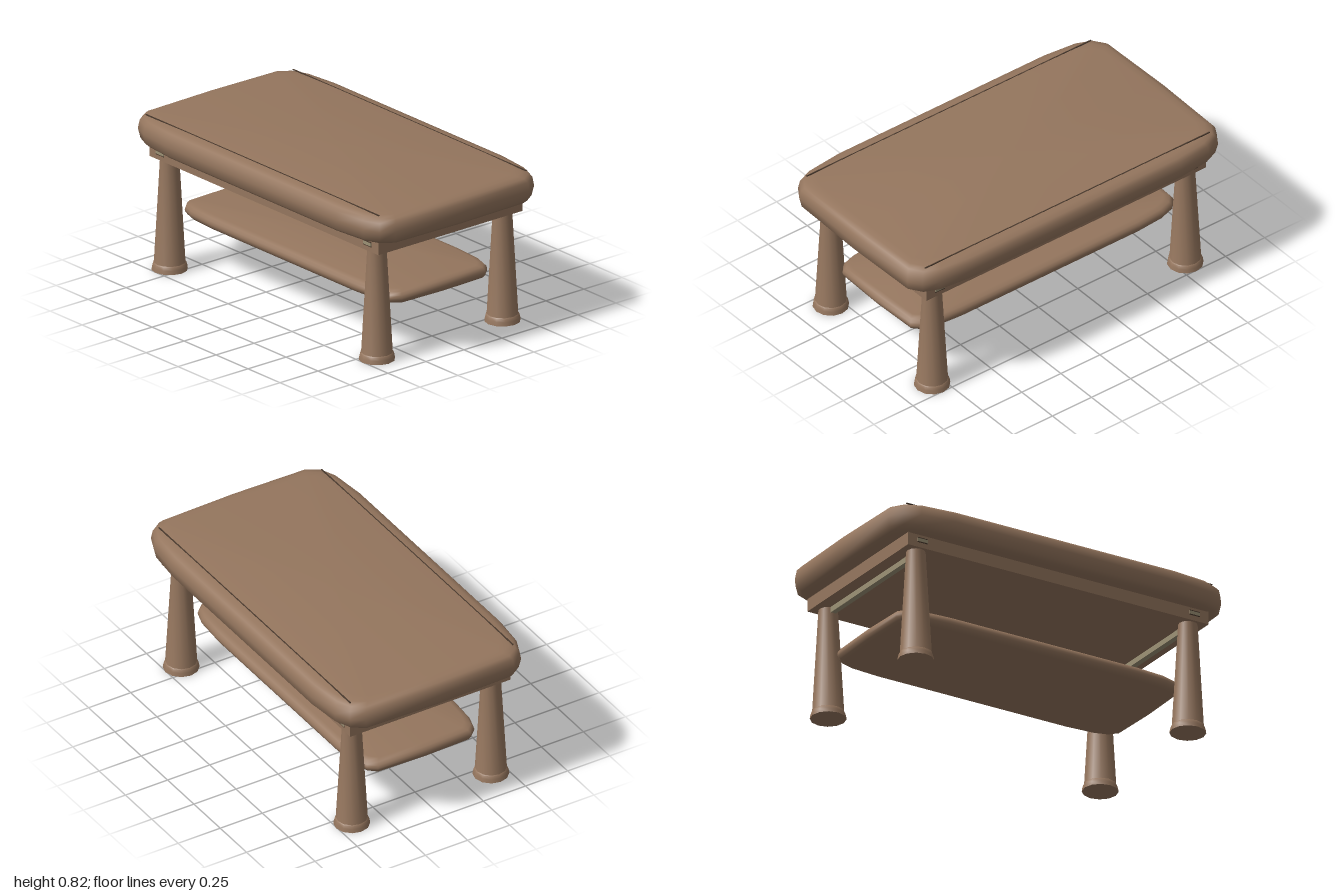
import * as THREE from 'three';
import { toCreasedNormals } from 'three/addons/utils/BufferGeometryUtils.js';

const mat = (name, color) => {
  const m = new THREE.MeshStandardMaterial({ color });
  m.name = name;
  return m;
};

// Plan outline for one quadrant, as fractions of the half width and half depth
const QUADRANT = [[1, 0], [0.99, 0.78], [0.945, 0.9], [0.86, 0.965], [0.67, 1], [0, 1]];

function planOutline() {
  const pts = [];
  for (let q = 0; q < 4; q++) {
    const sx = q === 0 || q === 3 ? 1 : -1;
    const sz = q < 2 ? 1 : -1;
    const part = q % 2 ? [...QUADRANT].reverse() : QUADRANT;
    part.slice(0, -1).forEach(([x, z]) => pts.push([x * sx, z * sz]));
  }
  return pts;
}

// Soft slab: stacked outlines, each given as [inset, y] from bottom to top
function slabGeometry(halfX, halfZ, rows) {
  const outline = planOutline();
  const n = outline.length;
  const pos = [];
  const index = [];
  rows.forEach(([inset, y]) => outline.forEach(([x, z]) =>
    pos.push(x * (halfX - inset), y, z * (halfZ - inset))));
  for (let r = 0; r < rows.length - 1; r++) {
    for (let i = 0; i < n; i++) {
      const a = r * n + i, b = r * n + (i + 1) % n;
      index.push(a, a + n, b, b, a + n, b + n);
    }
  }
  // Flat caps
  const last = (rows.length - 1) * n;
  const bottom = pos.length / 3;
  pos.push(0, rows[0][1], 0, 0, rows[rows.length - 1][1], 0);
  for (let i = 0; i < n; i++) {
    const j = (i + 1) % n;
    index.push(bottom, i, j, bottom + 1, last + j, last + i);
  }
  const g = new THREE.BufferGeometry();
  g.setAttribute('position', new THREE.Float32BufferAttribute(pos, 3));
  g.setIndex(index);
  return toCreasedNormals(g, 0.95);
}

export function createModel() {
  const group = new THREE.Group();
  group.name = 'coffeeTable';
  const wood = mat('brown wood', 0x95765e);
  const rail = mat('pale olive wood', 0x9c9175);
  const dark = mat('dark groove', 0x4a3a2e);

  const add = (name, geometry, material, x = 0, y = 0, z = 0) => {
    const m = new THREE.Mesh(geometry, material);
    m.name = name;
    m.position.set(x, y, z);
    group.add(m);
    return m;
  };
  const box = (name, w, h, d, material, x, y, z) =>
    add(name, new THREE.BoxGeometry(w, h, d), material, x, y, z);

  // Thick rounded top
  add('tableTop', slabGeometry(1, 0.565, [
    [0.05, 0.668], [0.027, 0.675], [0.01, 0.692], [0, 0.745],
    [0.007, 0.79], [0.022, 0.808], [0.05, 0.817], [0.085, 0.822],
  ]), wood);

  // Apron under the top
  box('apron', 1.79, 0.08, 0.95, wood, 0, 0.64, 0);

  // Shelf between the legs
  add('shelf', slabGeometry(0.85, 0.355, [
    [0.03, 0.265], [0.012, 0.272], [0.002, 0.288], [0, 0.3],
    [0.004, 0.315], [0.015, 0.328], [0.04, 0.335],
  ]), wood);

  // Tapered legs with flared feet
  const profile = [[0, 0], [0.093, 0], [0.09, 0.02], [0.085, 0.036], [0.081, 0.04], [0.049, 0.61]]
    .map(([r, y]) => new THREE.Vector2(r, y));
  const legGeometry = toCreasedNormals(new THREE.LatheGeometry(profile, 12), 0.7);

  for (const sx of [1, -1]) {
    const end = sx > 0 ? 'Left' : 'Right';
    for (const sz of [1, -1]) {
      const corner = (sz > 0 ? 'front' : 'back') + end;
      add(corner + 'Leg', legGeometry, wood, sx * 0.81, 0, sz * 0.413);
      // Peg plates on the apron, with a dark line above and below
      box(corner + 'Peg', 0.06, 0.018, 0.008, rail, sx * 0.81, 0.64, sz * 0.475);
      for (const sy of [1, -1]) {
        box(corner + 'PegEdge', 0.06, 0.004, 0.008, dark, sx * 0.81, 0.64 + sy * 0.011, sz * 0.475);
      }
    }
    // Cross rail between each pair of legs
    box('crossRail' + end, 0.03, 0.035, 0.8, rail, sx * 0.81, 0.5875, 0);
  }

  // Fine grooves along the long edges of the top
  for (const sz of [1, -1]) {
    box(sz > 0 ? 'frontGroove' : 'backGroove', 1.82, 0.005, 0.006, dark, 0, 0.8205, sz * 0.483);
  }
  return group;
}
